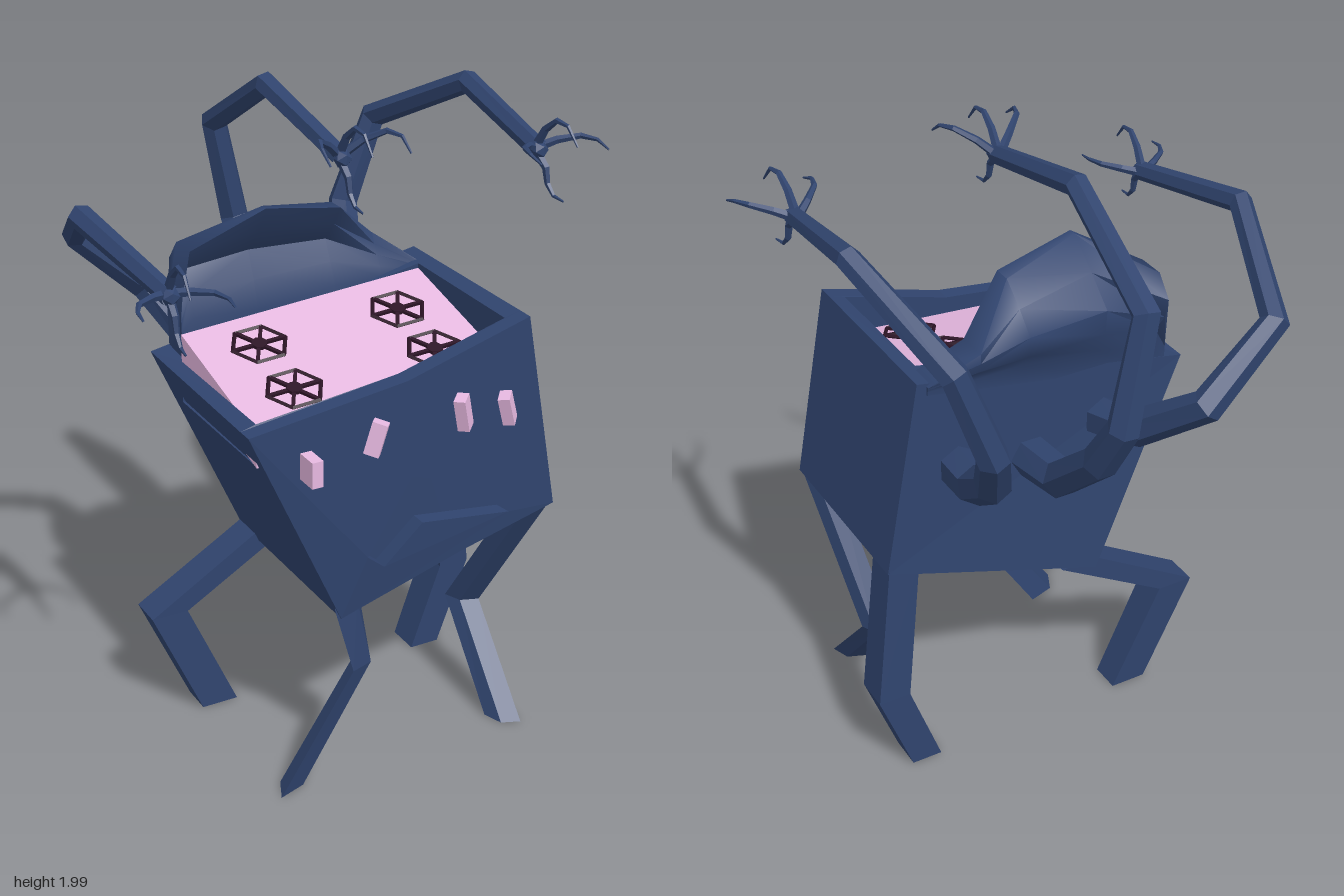
import * as THREE from 'three';
import { toCreasedNormals } from 'three/addons/utils/BufferGeometryUtils.js';

const mat = (color, flat = true) => new THREE.MeshStandardMaterial({ color, flatShading: flat });
const navy = mat(0x30446e), navySmooth = mat(0x30446e, false);
const pink = mat(0xe6b8e0), iron = mat(0x2d1526);

function add(parent, name, geometry, material) {
  const mesh = new THREE.Mesh(geometry, material);
  mesh.name = name;
  parent.add(mesh);
  return mesh;
}

// Skin between closed rings (counter-clockwise seen from the end), capped at both ends.
function loft(rings) {
  const n = rings[0].length, pos = [];
  const tri = (a, b, c) => pos.push(...a, ...b, ...c);
  for (let r = 0; r + 1 < rings.length; r++) {
    for (let i = 0; i < n; i++) {
      const j = (i + 1) % n, lo = rings[r], hi = rings[r + 1];
      tri(lo[i], lo[j], hi[j]);
      tri(lo[i], hi[j], hi[i]);
    }
  }
  const first = rings[0], last = rings[rings.length - 1];
  for (let i = 1; i + 1 < n; i++) {
    tri(first[0], first[i + 1], first[i]);
    tri(last[0], last[i], last[i + 1]);
  }
  const g = new THREE.BufferGeometry();
  g.setAttribute('position', new THREE.Float32BufferAttribute(pos, 3));
  g.computeVertexNormals();
  return g;
}

// Horizontal rectangle as a ring.
const slab = ([x0, x1, y, z0, z1]) => [[x0, y, z1], [x1, y, z1], [x1, y, z0], [x0, y, z0]];

// The same, with one pair of opposite corners drawn in to make a diagonal blade.
const blade = (rect, pulled) => {
  const [x0, x1, , z0, z1] = rect, k = 0.55;
  return slab(rect).map(([x, y, z], i) => i % 2 !== pulled ? [x, y, z]
    : [x + ((x0 + x1) / 2 - x) * k, y, z + ((z0 + z1) / 2 - z) * k]);
};

// Tapered tube with one ring at each point.
function taperedTube(points, r0, r1, sides) {
  const curve = new THREE.CatmullRomCurve3(points.map(p => new THREE.Vector3(...p)));
  curve.getPointAt = curve.getPoint;
  curve.getTangentAt = curve.getTangent;
  const segments = points.length - 1;
  const g = new THREE.TubeGeometry(curve, segments, 1, sides);
  const p = g.attributes.position, v = new THREE.Vector3();
  for (let i = 0; i < p.count; i++) {
    const t = Math.floor(i / (sides + 1)) / segments;
    const c = curve.getPoint(t);
    v.fromBufferAttribute(p, i).sub(c).multiplyScalar(r0 + (r1 - r0) * t).add(c);
    p.setXYZ(i, v.x, v.y, v.z);
  }
  return g;
}

// The underside leans back a little below y = 0.77.
function leanBack(g) {
  const p = g.attributes.position;
  for (let i = 0; i < p.count; i++) p.setZ(i, p.getZ(i) - 0.14 * Math.max(0, 0.77 - p.getY(i)));
  g.computeVertexNormals();
  return g;
}

const hobY = (x, z) => 1.345 + 0.075 * x - 0.25 * (z - 0.03);

function buildBody(model) {
  // crooked tub: bottom, outer rim, inner rim, inner floor
  const inner = [[-0.4, 1.23, 0.505], [0.05, 1.285, 0.505], [0.4, 1.385, 0.505], [0.4, 1.39, 0.03], [-0.4, 1.23, 0.03]];
  add(model, 'body', leanBack(loft([
    [[-0.14, 0.55, 0.51], [0.25, 0.68, 0.51], [0.57, 0.77, 0.51], [0.57, 0.77, -0.08], [-0.14, 0.55, -0.08]],
    [[-0.45, 1.22, 0.51], [0.05, 1.285, 0.51], [0.45, 1.4, 0.51], [0.45, 1.4, -0.08], [-0.45, 1.23, -0.08]],
    inner,
    inner.map(([x, , z]) => [x, 1.1, z]),
  ])), navy);

  // front panel with the mouth cut out
  const vec = ([x, y]) => new THREE.Vector2(x, y);
  const face = new THREE.Shape([[-0.14, 0.55], [0.25, 0.68], [0.57, 0.77], [0.45, 1.4], [0.05, 1.285], [-0.45, 1.22]].map(vec));
  face.holes.push(new THREE.Path([[-0.07, 0.75], [0.07, 0.98], [0.2, 0.94], [0.41, 0.78], [0.11, 0.82], [-0.01, 0.7]].map(vec)));
  const front = new THREE.ExtrudeGeometry(face, { depth: 0.05, bevelEnabled: false });
  front.translate(0, 0, 0.51);
  add(model, 'frontPanel', leanBack(front), navy);

  // curled back panel: height, back z, front z
  const profile = [[1.18, -0.075, 0.02], [1.38, -0.085, 0.01], [1.43, -0.15, -0.02], [1.5, -0.15, -0.055], [1.57, -0.075, 0.015], [1.67, 0.045, 0.07]];
  const curlZ = (y, side) => {
    let k = 0;
    while (k < profile.length - 2 && y > profile[k + 1][0]) k++;
    const a = profile[k], b = profile[k + 1];
    return a[side] + (b[side] - a[side]) * (y - a[0]) / (b[0] - a[0]);
  };
  const columns = [[-0.39, 1.38], [-0.35, 1.55], [-0.14, 1.67], [0.12, 1.62], [0.28, 1.485], [0.42, 1.385]];
  add(model, 'backPanel', toCreasedNormals(loft(columns.map(([x, top]) => {
    const base = 1.28 + 0.18 * x;
    const rows = [0, 0.2, 0.4, 0.6, 0.8, 1].map(t => base + (top - base) * t);
    const back = rows.map(y => [x, y, curlZ(y, 1)]);
    const frontSide = rows.map(y => [x, y, curlZ(y, 2)]).reverse();
    return [...back, ...frontSide];
  })), 0.9), navySmooth);
}

function buildHob(model) {
  // thick slab, standing above the low side of the rim
  const plate = d => slab([-0.4, 0.4, 0, 0.03, 0.508]).map(([x, , z]) => [x, hobY(x, z) + d, z]);
  add(model, 'hobPlate', loft([plate(-0.1), plate(0)]), pink);

  const tilt = new THREE.Quaternion().setFromUnitVectors(
    new THREE.Vector3(0, 1, 0), new THREE.Vector3(-0.075, 1, 0.25).normalize());
  for (const [x, z] of [[-0.215, 0.165], [-0.215, 0.38], [0.235, 0.185], [0.24, 0.39]]) {
    const burner = new THREE.Group();
    burner.name = 'burner';
    burner.position.set(x, hobY(x, z) + 0.004, z);
    burner.quaternion.copy(tilt);
    add(burner, 'burnerRing', new THREE.TorusGeometry(0.085, 0.007, 4, 6).rotateX(Math.PI / 2), iron);
    add(burner, 'burnerHub', new THREE.CylinderGeometry(0.024, 0.024, 0.014, 8), iron);
    for (let i = 0; i < 6; i++) {
      const spoke = new THREE.BoxGeometry(0.065, 0.01, 0.011).translate(0.048, 0, 0).rotateY(i * Math.PI / 3);
      add(burner, 'burnerSpoke', spoke, iron);
    }
    model.add(burner);
  }
}

function buildKnobs(model) {
  // position, size, rotation of the knob eyes
  const knobs = [
    [[-0.275, 1.1, 0.59], [0.035, 0.08, 0.08], [0, 0, 0]],
    [[-0.065, 1.145, 0.585], [0.035, 0.1, 0.045], [0.35, 0.8, -0.35]],
    [[0.22, 1.16, 0.585], [0.035, 0.105, 0.045], [0.35, -0.8, 0.35]],
    [[0.37, 1.14, 0.585], [0.035, 0.095, 0.045], [0.35, -0.7, 0.4]],
  ];
  for (const [p, s, r] of knobs) {
    const knob = add(model, 'knobEye', new THREE.BoxGeometry(...s), pink);
    knob.position.set(...p);
    knob.rotation.set(...r);
  }
}

function buildLegs(model) {
  // pulled corner pair, then foot, knee, hip as x0, x1, y, z0, z1
  const legs = {
    frontRightLeg: [1, [-0.35, -0.23, 0, 0.45, 0.55], [-0.1, 0, 0.36, 0.45, 0.535], [-0.16, -0.04, 0.585, 0.45, 0.525]],
    backRightLeg: [-1, [-0.35, -0.23, 0, -0.09, 0.01], [-0.51, -0.39, 0.365, -0.11, 0], [-0.15, -0.02, 0.58, -0.105, 0]],
    frontLeftLeg: [0, [0.42, 0.5, 0, 0.47, 0.555], [0.43, 0.51, 0.3, 0.2, 0.275], [0.485, 0.565, 0.78, 0.48, 0.555]],
    backLeftLeg: [-1, [0.42, 0.52, 0, -0.09, 0.02], [0.52, 0.625, 0.29, -0.09, 0.025], [0.465, 0.565, 0.78, -0.08, 0.03]],
  };
  for (const [name, [pulled, ...rings]] of Object.entries(legs)) {
    add(model, name, loft(rings.map(r => blade(r, pulled))), navy);
  }
}

function buildArms(model) {
  // hand yaw, lift of the side fingers, and arm path
  const arms = {
    rightArm: [-0.1, 0.2, [[-0.17, 1.09, -0.05], [-0.2, 1.12, -0.22], [-0.3, 1.29, -0.44],
      [-0.53, 1.5, -0.43], [-0.655, 1.69, -0.06], [-0.6, 1.61, 0.41]]],
    middleArm: [0, 1, [[0.08, 1.03, -0.05], [0.08, 1.06, -0.26], [0.085, 1.25, -0.48], [0.075, 1.41, -0.58],
      [0, 1.74, -0.56], [-0.01, 1.955, -0.18], [-0.01, 1.86, 0.28]]],
    leftArm: [0.1, 0.5, [[0.32, 1.08, -0.05], [0.34, 1.1, -0.22], [0.4, 1.25, -0.43], [0.45, 1.41, -0.53],
      [0.55, 1.69, -0.515], [0.66, 1.885, -0.13], [0.62, 1.8, 0.32]]],
  };
  // finger paths from the wrist
  const side = (s, lift) => [[0, 0, -0.02], [s * 0.055, 0.05 * lift, 0.015], [s * 0.105, 0.08 * lift, 0.06],
    [s * 0.125, 0.075 * lift, 0.11], [s * 0.125, 0.04 * lift, 0.16]];
  const upper = [[0, 0, -0.02], [0, 0.07, 0.025], [0, 0.105, 0.07], [0, 0.1, 0.12], [0, 0.05, 0.165]];
  const thumb = [[0, 0, -0.02], [0, -0.045, 0.035], [0, -0.09, 0.045], [0, -0.12, 0.075], [0, -0.125, 0.12]];
  for (const [name, [yaw, lift, path]] of Object.entries(arms)) {
    add(model, name, taperedTube(path, 0.068, 0.03, 6), navy);
    const hand = new THREE.Group();
    hand.name = name + 'Hand';
    hand.position.set(...path[path.length - 1]);
    hand.rotation.y = yaw;
    add(hand, 'palm', new THREE.IcosahedronGeometry(0.028, 0), navy);
    for (const f of [side(1, lift), side(-1, lift), upper, thumb]) {
      add(hand, 'finger', taperedTube(f, 0.015, 0.003, 5), navy);
    }
    model.add(hand);
  }
}

export function createModel() {
  const model = new THREE.Group();
  model.name = 'stoveCreature';
  buildBody(model);
  buildHob(model);
  buildKnobs(model);
  buildLegs(model);
  buildArms(model);
  return model;
}
